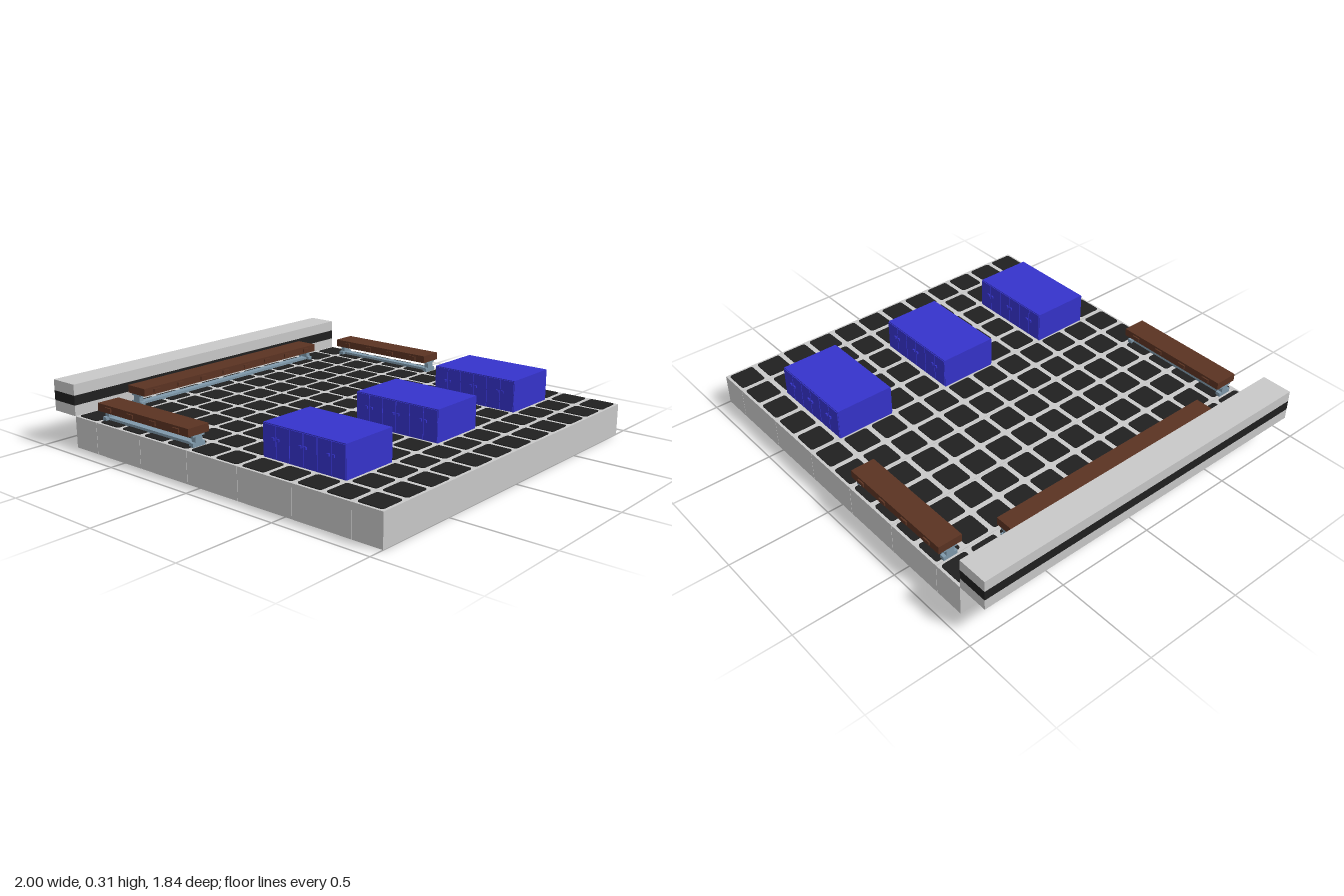
import * as THREE from 'three';

const mat = (name, color) => {
  const m = new THREE.MeshStandardMaterial({ color });
  m.name = name;
  return m;
};

export function createModel() {
  const grey = mat('light grey', 0xc9c9c9);
  const black = mat('black', 0x202020);
  const blue = mat('blue', 0x3533cc);
  const brown = mat('brown', 0x5b3322);
  const steel = mat('steel blue', 0x7f99ab);
  const model = new THREE.Group();
  model.name = 'room';

  // Box given by its lower and upper limits
  const box = (parent, name, m, x0, x1, y0, y1, z0, z1) => {
    const mesh = new THREE.Mesh(new THREE.BoxGeometry(x1 - x0, y1 - y0, z1 - z0), m);
    mesh.position.set((x0 + x1) / 2, (y0 + y1) / 2, (z0 + z1) / 2);
    mesh.name = name;
    parent.add(mesh);
    return mesh;
  };
  const group = (name, x, y, z) => {
    const g = new THREE.Group();
    g.name = name;
    g.position.set(x, y, z);
    model.add(g);
    return g;
  };

  const FLOOR = 0.154, DEPTH = 0.922, PITCH = 0.1538;

  // Floor slabs, side by side with hairline joints
  const joints = [-0.846, -0.692, -0.385, -0.077, 0.231, 0.538, 0.846, 1];
  for (let i = 0; i < joints.length - 1; i++) {
    const a = i ? 0.001 : 0, b = i < joints.length - 2 ? 0.001 : 0;
    box(model, 'floorSlab', grey, joints[i] + a, joints[i + 1] - b, 0, FLOOR, -DEPTH, DEPTH);
  }

  // Rounded floor tiles, 12 by 12
  const h = 0.063, r = 0.014;
  const tileShape = new THREE.Shape();
  tileShape.moveTo(-h + r, -h);
  [[1, -1], [1, 1], [-1, 1], [-1, -1]].forEach(([sx, sy], i) => {
    if (i % 2 === 0) {
      tileShape.lineTo(sx * (h - r), sy * h);
      tileShape.quadraticCurveTo(sx * h, sy * h, sx * h, sy * (h - r));
    } else {
      tileShape.lineTo(sx * h, sy * (h - r));
      tileShape.quadraticCurveTo(sx * h, sy * h, sx * (h - r), sy * h);
    }
  });
  const tileGeo = new THREE.ExtrudeGeometry(tileShape, { depth: 0.004, bevelEnabled: false, curveSegments: 3 });
  tileGeo.rotateX(-Math.PI / 2);
  const tiles = group('floorTiles', 0, FLOOR, 0);
  for (let i = 0; i < 12; i++) {
    for (let j = 0; j < 12; j++) {
      const tile = new THREE.Mesh(tileGeo, black);
      tile.name = 'floorTile';
      tile.position.set(-0.769 + i * PITCH, 0, (j - 5.5) * PITCH);
      tiles.add(tile);
    }
  }

  // Overhanging side wall with a black band
  [[0.154, 0.206, grey, 'wallLower'], [0.206, 0.254, black, 'wallBand'], [0.254, 0.308, grey, 'wallUpper']]
    .forEach(([y0, y1, m, name]) => box(model, name, m, -1, -0.848, y0, y1, -DEPTH, DEPTH));

  // Cabinets with panelled doors and small knobs on both long sides
  for (const z of [-0.615, 0, 0.615]) {
    const cabinet = group('cabinet', 0.458, FLOOR, z);
    box(cabinet, 'cabinetBody', blue, -0.228, 0.228, 0, 0.154, -0.146, 0.146);
    for (const s of [-1, 1]) {
      for (let i = 0; i < 6; i++) {
        const x = (i - 2.5) * 0.076;
        const door = box(cabinet, 'cabinetDoor', blue, x - 0.036, x + 0.036, 0.006, 0.15, -0.002, 0.002);
        door.position.z = s * 0.148;
        const knob = box(cabinet, 'doorKnob', blue, -0.006, 0.006, 0.085, 0.097, -0.004, 0.004);
        knob.position.x = x + (i % 2 ? -0.024 : 0.024);
        knob.position.z = s * 0.153;
      }
    }
  }

  // Bench running along local x: plank, edge pegs, end legs, foot rail
  const addBench = (name, length, x, z, turn) => {
    const bench = group(name, x, FLOOR, z);
    bench.rotation.y = turn;
    const half = length / 2;
    box(bench, 'benchPlank', brown, -half, half, 0.054, 0.092, -0.06, 0.06);
    box(bench, 'benchRail', steel, -half, half, 0.001, 0.016, -0.018, 0.018);
    const pegs = Math.round(length / PITCH);
    for (let i = 0; i < pegs; i++) {
      const px = (i - (pegs - 1) / 2) * (length / pegs);
      for (const s of [-1, 1]) {
        const peg = box(bench, 'benchPeg', brown, px - 0.02, px + 0.02, 0.064, 0.082, -0.004, 0.004);
        peg.position.z = s * 0.063;
      }
    }
    for (const s of [-1, 1]) {
      const lx = s * (half - 0.012);
      box(bench, 'benchFoot', steel, lx - 0.012, lx + 0.012, 0, 0.02, -0.036, 0.036);
      box(bench, 'benchLeg', steel, lx - 0.012, lx + 0.012, 0.018, 0.054, -0.02, 0.02);
      box(bench, 'benchBracket', steel, lx - 0.012, lx + 0.012, 0.046, 0.054, -0.034, 0.034);
    }
  };
  addBench('backBench', 0.615, -0.385, -0.846, 0);
  addBench('frontBench', 0.615, -0.385, 0.846, 0);
  addBench('wallBench', 1.23, -0.771, 0, Math.PI / 2);

  return model;
}
